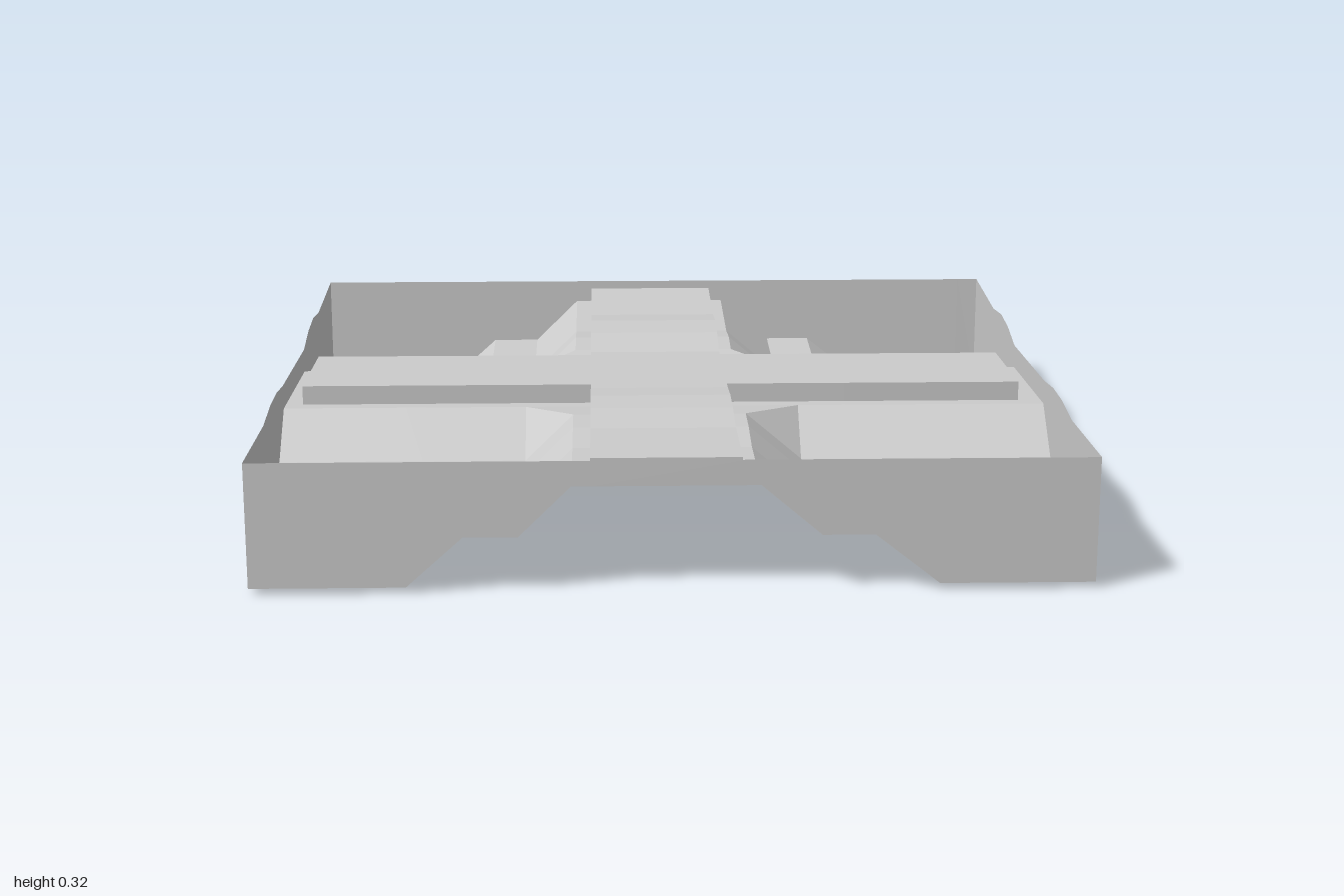
import * as THREE from 'three';

const X_LINES = [-1, -0.955, -0.68, -0.63, -0.495, -0.365, -0.24, -0.195, 0.165, 0.205, 0.35, 0.475, 0.63, 0.69, 0.94, 1];
const Z_LINES = [-0.988, -0.945, -0.69, -0.64, -0.5, -0.38, -0.255, -0.215, 0.175, 0.22, 0.35, 0.475, 0.615, 0.68, 0.915, 0.988];
const RAISE = 0.05;
const RIM = 0.322;

// Linear interpolation through [position, value] pairs
function piecewise(points, t) {
  for (let i = 1; i < points.length; i++) {
    const [a, va] = points[i - 1], [b, vb] = points[i];
    if (t <= b) return va + (vb - va) * (t - a) / (b - a);
  }
  return points[points.length - 1][1];
}

// Terraced cross sections and the gentle undulation along z
const LOW = 0.015, MID = 0.137, HIGH = 0.26;
const stepped = (s) => [[s[0], LOW], [s[1], LOW], [s[2], MID], [s[3], MID], [s[4], HIGH],
  [s[5], HIGH], [s[6], MID], [s[7], MID], [s[8], LOW], [s[9], LOW]];
const PROFILE_X = stepped([-1, -0.63, -0.495, -0.365, -0.24, 0.205, 0.35, 0.475, 0.63, 1]);
const PROFILE_Z = stepped([-0.988, -0.64, -0.5, -0.38, -0.255, 0.22, 0.35, 0.475, 0.615, 0.988]);
const WAVE = [[-0.988, 0], [-0.64, -0.015], [-0.5, 0], [-0.38, -0.008], [-0.255, -0.034],
  [0.22, -0.014], [0.35, 0], [0.475, 0], [0.615, -0.014], [0.988, 0]];

const level = (x, z) => Math.max(piecewise(PROFILE_X, x), piecewise(PROFILE_Z, z));
const wave = (z) => piecewise(WAVE, z);
const height = (x, z) => level(x, z) + wave(z);

// True inside the cross-shaped panel or one of the four corner panels
function isPanel(x, z) {
  const inside = (v, a, b) => v > a && v < b;
  const longX = inside(x, -0.955, 0.94), longZ = inside(z, -0.945, 0.915);
  const cross = (longX && inside(z, -0.215, 0.175)) || (longZ && inside(x, -0.195, 0.165));
  const corner = longX && longZ && !inside(x, -0.68, 0.69) && !inside(z, -0.69, 0.68);
  return cross || corner;
}

function makeMesh(name, positions, material) {
  const geometry = new THREE.BufferGeometry();
  geometry.setAttribute('position', new THREE.Float32BufferAttribute(positions, 3));
  geometry.computeVertexNormals();
  const mesh = new THREE.Mesh(geometry, material);
  mesh.name = name;
  return mesh;
}

export function createModel() {
  const group = new THREE.Group();
  group.name = 'terracedTray';
  const material = new THREE.MeshStandardMaterial({ color: 0xcccccc, flatShading: true, side: THREE.DoubleSide });
  const terraces = [], panels = [], risers = [], walls = [];

  const quad = (out, a, b, c, d) => out.push(...a, ...b, ...c, ...a, ...c, ...d);
  const at = (x, z, lift = 0) => [x, height(x, z) + lift, z];
  const rim = (x, z) => [x, RIM + wave(z), z];
  // Vertical strip between two ground points and a raised edge
  const riser = (out, x0, z0, x1, z1, top) =>
    quad(out, at(x0, z0), at(x1, z1), top(x1, z1), top(x0, z0));
  const raised = (x, z) => at(x, z, RAISE);

  const nx = X_LINES.length - 1, nz = Z_LINES.length - 1;
  const cellIsPanel = (i, j) => i >= 0 && j >= 0 && i < nx && j < nz &&
    isPanel((X_LINES[i] + X_LINES[i + 1]) / 2, (Z_LINES[j] + Z_LINES[j + 1]) / 2);

  for (let i = 0; i < nx; i++) for (let j = 0; j < nz; j++) {
    const x0 = X_LINES[i], x1 = X_LINES[i + 1], z0 = Z_LINES[j], z1 = Z_LINES[j + 1];
    const panel = cellIsPanel(i, j), lift = panel ? RAISE : 0;
    const a = at(x0, z0, lift), b = at(x0, z1, lift), c = at(x1, z1, lift), d = at(x1, z0, lift);

    // Split along the more level diagonal so the terrace corners are chamfered
    const ac = Math.abs(level(x0, z0) - level(x1, z1));
    const bd = Math.abs(level(x0, z1) - level(x1, z0));
    const out = panel ? panels : terraces;
    if (ac <= bd) quad(out, a, b, c, d);
    else quad(out, b, c, d, a);

    // Upright sides of the raised panels
    if (panel) {
      if (!cellIsPanel(i - 1, j)) riser(risers, x0, z0, x0, z1, raised);
      if (!cellIsPanel(i + 1, j)) riser(risers, x1, z1, x1, z0, raised);
      if (!cellIsPanel(i, j - 1)) riser(risers, x1, z0, x0, z0, raised);
      if (!cellIsPanel(i, j + 1)) riser(risers, x0, z1, x1, z1, raised);
    }

    // Outer walls
    if (i === 0) riser(walls, x0, z0, x0, z1, rim);
    if (i === nx - 1) riser(walls, x1, z1, x1, z0, rim);
    if (j === 0) riser(walls, x1, z0, x0, z0, rim);
    if (j === nz - 1) riser(walls, x0, z1, x1, z1, rim);
  }

  group.add(
    makeMesh('terraces', terraces, material),
    makeMesh('raisedPanels', panels, material),
    makeMesh('panelSides', risers, material),
    makeMesh('outerWalls', walls, material),
  );
  return group;
}
